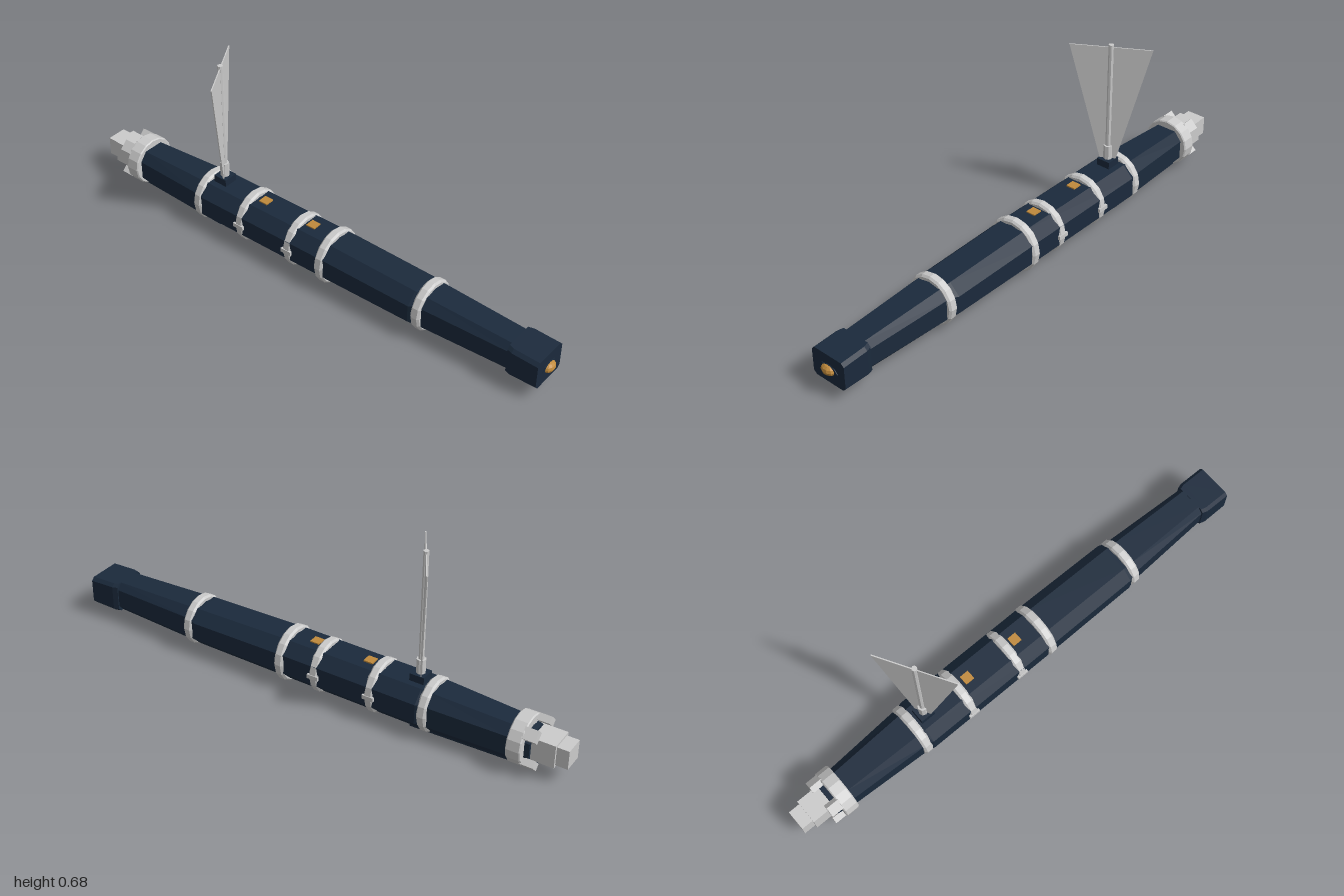
import * as THREE from 'three';

const CY = 0.112; // height of the long axis
const mat = (color) => new THREE.MeshStandardMaterial({ color, flatShading: true, side: THREE.DoubleSide });

// Chamfered rectangle: half width, bottom, top, corner cut in x and y
function octagon(hw, y0, y1, cx, cy) {
  return [[hw, y0 + cy], [hw, y1 - cy], [hw - cx, y1], [cx - hw, y1],
    [-hw, y1 - cy], [-hw, y0 + cy], [cx - hw, y0], [hw - cx, y0]];
}

// Skin through eight-sided sections [z, halfWidth, bottom, top, cutX, cutY], listed from back to front
function loft(sections) {
  const pos = [], idx = [], n = 8;
  for (const [z, ...s] of sections) for (const [x, y] of octagon(...s)) pos.push(x, y, z);
  for (let i = 0; i < sections.length - 1; i++) {
    for (let j = 0; j < n; j++) {
      const a = i * n + j, b = i * n + (j + 1) % n;
      idx.push(a, b, b + n, a, b + n, a + n);
    }
  }
  const last = (sections.length - 1) * n;
  for (let j = 1; j < n - 1; j++) {
    idx.push(0, j + 1, j);
    idx.push(last, last + j, last + j + 1);
  }
  const g = new THREE.BufferGeometry();
  g.setAttribute('position', new THREE.Float32BufferAttribute(pos, 3));
  g.setIndex(idx);
  const flat = g.toNonIndexed();
  flat.computeVertexNormals();
  return flat;
}

// Sixteen-sided band around the z axis with bevelled rims
function band(inner, outer, half, bevel) {
  const p = [[inner, -half], [outer - bevel, -half], [outer, -half + bevel],
    [outer, half - bevel], [outer - bevel, half], [inner, half], [inner, -half]];
  return new THREE.LatheGeometry(p.map(([r, y]) => new THREE.Vector2(r, y)), 16).rotateX(Math.PI / 2);
}

export function createModel() {
  const model = new THREE.Group();
  const dark = mat(0x1b2a3c), grey = mat(0xcccccc), amber = mat(0xc08a3c);
  const add = (name, geometry, material, x = 0, y = 0, z = 0) => {
    const m = new THREE.Mesh(geometry, material);
    m.name = name;
    m.position.set(x, y, z);
    model.add(m);
    return m;
  };
  const box = (name, w, h, d, material, x, y, z) =>
    add(name, new THREE.BoxGeometry(w, h, d), material, x, y, z);

  // Hull, thickest in the middle
  add('hull', loft([
    [-0.87, 0.058, 0.045, 0.165, 0.026, 0.03],
    [-0.80, 0.068, 0.035, 0.176, 0.028, 0.034],
    [-0.48, 0.086, 0.032, 0.19, 0.036, 0.04],
    [-0.46, 0.093, 0.032, 0.192, 0.042, 0.042],
    [0.10, 0.093, 0.035, 0.194, 0.042, 0.042],
    [0.47, 0.090, 0.038, 0.186, 0.04, 0.04],
    [0.50, 0.079, 0.040, 0.183, 0.03, 0.032],
    [0.87, 0.062, 0.054, 0.171, 0.02, 0.024],
  ]), dark);

  // Nose block with its lamp
  add('noseBlock', loft([
    [0.85, 0.067, 0.054, 0.172, 0.012, 0.012],
    [0.87, 0.073, 0.054, 0.171, 0.012, 0.012],
    [0.97, 0.073, 0.056, 0.167, 0.012, 0.012],
  ]), dark);
  const socket = add('lampSocket', new THREE.CylinderGeometry(0.042, 0.042, 0.008, 8).rotateX(Math.PI / 2), dark, 0, 0.11, 0.969);
  socket.scale.y = 0.5;
  const lamp = add('noseLamp', new THREE.SphereGeometry(1, 10, 6), amber, 0, 0.11, 0.97);
  lamp.scale.set(0.03, 0.02, 0.021);

  // Keel under the rear half
  add('keel', loft([
    [-0.88, 0.03, 0.022, 0.07, 0.01, 0.01],
    [-0.80, 0.04, 0.018, 0.08, 0.012, 0.012],
    [-0.42, 0.05, 0.012, 0.08, 0.014, 0.012],
  ]), dark);

  // Clamping bands
  for (const [z, r] of [[0.5, 0.096], [0.09, 0.105], [-0.055, 0.101], [-0.28, 0.101], [-0.485, 0.1]]) {
    add('band', band(r - 0.018, r, 0.018, 0.007), grey, 0, CY, z);
  }

  // Side clips on the two middle bands
  for (const z of [-0.055, -0.28]) {
    for (const s of [-1, 1]) {
      box('sideClip', 0.014, 0.016, 0.044, grey, s * 0.095, CY, z);
    }
  }

  // Top buttons
  for (const z of [-0.01, -0.23]) box('button', 0.036, 0.008, 0.036, amber, 0, 0.194, z);

  // Tail collar with four prongs and a stepped plug
  add('tailCollar', band(0.06, 0.093, 0.027, 0.004), grey, 0, CY, -0.825);
  for (const sx of [-1, 1]) {
    for (const sy of [-1, 1]) {
      const prong = box('collarProng', 0.042, 0.026, 0.05, grey, sx * 0.053, CY + sy * 0.057, -0.87);
      prong.rotation.z = -sx * sy * Math.PI / 4;
    }
  }
  box('tailPlug', 0.094, 0.088, 0.095, grey, 0, CY, -0.908);
  box('tailPlugEnd', 0.076, 0.072, 0.06, grey, 0, CY, -0.97);

  // Mast and fin
  box('mastFoot', 0.056, 0.04, 0.056, dark, 0, 0.2, -0.428);
  add('mastSleeve', new THREE.CylinderGeometry(0.017, 0.017, 0.07, 8), grey, 0, 0.24, -0.428);
  add('mast', new THREE.CylinderGeometry(0.01, 0.01, 0.48, 8), grey, 0, 0.45, -0.428);
  const finShape = new THREE.Shape([[-0.028, 0.212], [0.028, 0.212], [0.149, 0.68], [-0.149, 0.68]]
    .map(([x, y]) => new THREE.Vector2(x, y)));
  const finGeometry = new THREE.ExtrudeGeometry(finShape, { depth: 0.004, bevelEnabled: false }).translate(0, 0, -0.002);
  add('fin', finGeometry, grey, 0, 0, -0.428).rotation.y = 0.53;

  // Rest the lowest band on the ground
  const bounds = new THREE.Box3().setFromObject(model);
  for (const part of model.children) part.position.y -= bounds.min.y;
  return model;
}
